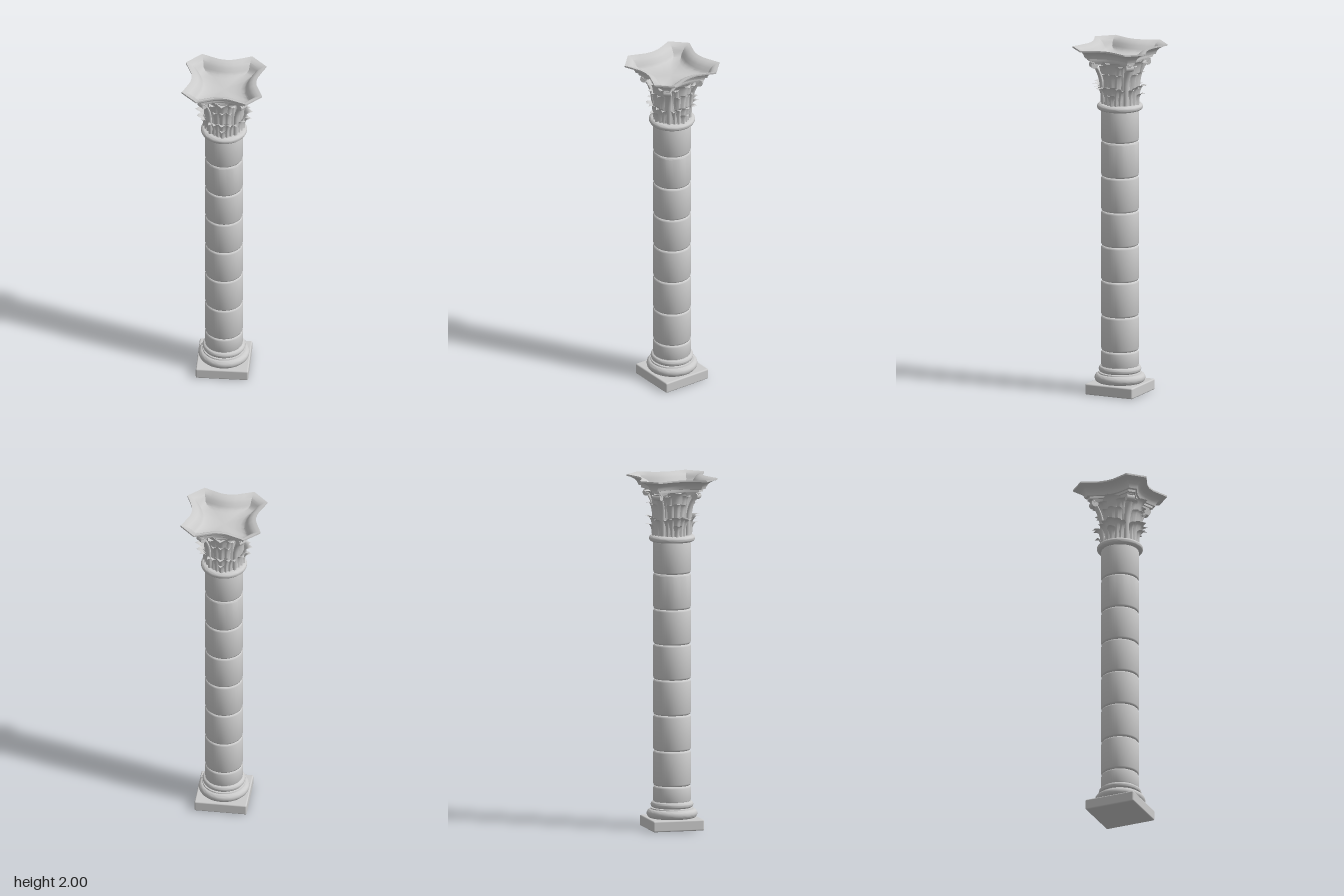
import * as THREE from 'three';
import { toCreasedNormals } from 'three/addons/utils/BufferGeometryUtils.js';
import { RoundedBoxGeometry } from 'three/addons/geometries/RoundedBoxGeometry.js';

const stone = new THREE.MeshStandardMaterial({ color: 0xcccccc, side: THREE.DoubleSide });
const V = (x, y) => new THREE.Vector2(x, y);
const rad = THREE.MathUtils.degToRad;

function part(name, geometry) {
  const mesh = new THREE.Mesh(geometry, stone);
  mesh.name = name;
  return mesh;
}

const lathe = (name, points, crease = 0.7) =>
  part(name, toCreasedNormals(new THREE.LatheGeometry(points, 48), crease));

// Half-round moulding profile between two heights
function roll(y0, y1, rOuter, bulge) {
  const pts = [];
  for (let i = 0; i <= 10; i++) {
    const a = Math.PI * (i / 10 - 0.5);
    pts.push(V(rOuter - bulge + bulge * Math.cos(a), (y0 + y1) / 2 + (y1 - y0) / 2 * Math.sin(a)));
  }
  return pts;
}

// Surface from a grid of points: rows x cols, each point from fn(row, col)
function gridSurface(rows, cols, fn) {
  const pos = [], idx = [];
  for (let i = 0; i <= rows; i++)
    for (let j = 0; j <= cols; j++) pos.push(...fn(i, j));
  for (let i = 0; i < rows; i++)
    for (let j = 0; j < cols; j++) {
      const a = i * (cols + 1) + j, d = a + cols + 1;
      idx.push(a, a + 1, d + 1, a, d + 1, d);
    }
  const g = new THREE.BufferGeometry();
  g.setAttribute('position', new THREE.Float32BufferAttribute(pos, 3));
  g.setIndex(idx);
  g.computeVertexNormals();
  return g;
}

// Spoon-shaped leaf lobe, hugging the bell and curling outwards at its tip
function lobe(name, angle, y0, y1, r0, r1, halfWidth, lean = 0) {
  const rows = 12, cols = 8;
  const g = gridSurface(rows, cols, (i, j) => {
    const t = i / rows, s = j / cols * 2 - 1;
    const w = halfWidth * (0.4 * (1 - t) + Math.sin(Math.PI * Math.pow(t, 1.7)));
    const x = s * w + lean * t * t;
    const r = r0 + (r1 - r0) * Math.pow(t, 2.4) - 0.4 * w * s * s + 0.003 * Math.max(0, 1 - 5 * Math.abs(s));
    return [x, y0 + (y1 - y0) * Math.sin(t * 1.75) / Math.sin(1.75) , r];
  });
  const m = part(name, g);
  m.rotation.y = rad(angle);
  return m;
}

// Stem and scroll under an abacus corner
function cornerStem() {
  const group = new THREE.Group();
  group.name = 'cornerStem';
  const spine = new THREE.CatmullRomCurve3([[0.098, 1.67], [0.105, 1.75], [0.115, 1.82], [0.14, 1.88], [0.168, 1.915]]
    .map(([r, y]) => new THREE.Vector3(0, y, r)));
  const rows = 16, cols = 16;
  group.add(part('stem', gridSurface(rows, cols, (i, j) => {
    const t = i / rows, a = j / cols * Math.PI * 2, p = spine.getPoint(t);
    const w = 0.012 + 0.012 * t;
    return [Math.cos(a) * w, p.y, p.z - Math.sin(a) * 0.012];
  })));
  const scroll = part('scroll', new THREE.CylinderGeometry(0.02, 0.02, 0.044, 20));
  scroll.rotation.z = Math.PI / 2;
  scroll.position.set(0, 1.9, 0.158);
  group.add(scroll);
  for (const s of [-1, 1]) {
    group.add(lobe('stemLeaf', 8 * s, 1.74, 1.9, 0.1, 0.15, 0.026, 0.022 * s));
  }
  return group;
}

// Abacus: concave-sided outline with cut corners, flaring to a thin rim around a sunken top
function abacus() {
  const outer = [[0.141, 0.227], [0.09, 0.206], [0.04, 0.187], [0, 0.182]];
  const inner = [[0.128, 0.161], [0.09, 0.145], [0.045, 0.13], [0, 0.125]];
  const side = (half) => [...half.map(([x, z]) => [-x, z]), ...half.slice(0, 3).reverse()];
  const ring = (half) => {
    const pts = [];
    for (let k = 0; k < 4; k++) {
      const c = Math.round(Math.cos(k * Math.PI / 2)), s = Math.round(Math.sin(k * Math.PI / 2));
      for (const [x, z] of side(half)) pts.push([x * c + z * s, z * c - x * s]);
    }
    return [...pts, pts[0]];
  };
  const A = ring(inner), B = ring(outer);
  // [offset, height]: -1 is the centre, 0 the inner outline, 1 the outer outline
  const levels = [
    [-1, 1.908], [-0.2, 1.908], [-0.17, 1.925], [-0.08, 1.925], [-0.08, 1.938], [0, 1.94],
    [0.06, 1.952], [0.18, 1.964], [0.38, 1.976], [0.65, 1.985], [1, 1.991], [1, 2],
    [0.7, 1.996], [0.4, 1.986], [0.18, 1.973], [0, 1.955],
    [-0.08, 1.942], [-0.25, 1.934], [-0.55, 1.929], [-1, 1.928]];
  const g = gridSurface(levels.length - 1, A.length - 1, (i, j) => {
    const [t, y] = levels[i], a = A[j], b = B[j];
    const f = (k) => t < 0 ? a[k] * (1 + t) : a[k] + (b[k] - a[k]) * t;
    return [f(0), y, f(1)];
  });
  return part('abacus', toCreasedNormals(g, 0.6));
}

export function createModel() {
  const model = new THREE.Group();
  model.name = 'column';

  // Base
  const plinth = part('plinth', new RoundedBoxGeometry(0.296, 0.062, 0.296, 3, 0.008));
  plinth.position.y = 0.031;
  model.add(plinth);
  model.add(lathe('baseMoulding', [
    V(0, 0.06), ...roll(0.062, 0.112, 0.143, 0.022), V(0.119, 0.118),
    ...roll(0.12, 0.155, 0.12, 0.015), V(0.104, 0.16)]));

  // Shaft drums with rounded edges and narrow joints
  const joints = [0.15, 0.245, 0.445, 0.648, 0.85, 1.05, 1.25, 1.452, 1.64];
  for (let i = 0; i < joints.length - 1; i++) {
    const a = joints[i], b = joints[i + 1], r = 0.106;
    model.add(lathe('drum', [
      V(0.09, a), V(r - 0.008, a + 0.001), V(r - 0.003, a + 0.004), V(r, a + 0.012),
      V(r, b - 0.012), V(r - 0.003, b - 0.004), V(r - 0.008, b - 0.001), V(0.09, b)], 0.9));
  }

  // Neck ring and bell
  model.add(lathe('neckRing', [V(0.1, 1.632), ...roll(1.632, 1.668, 0.13, 0.018), V(0.09, 1.67)]));
  model.add(lathe('bell', [V(0.1, 1.66), V(0.096, 1.72), V(0.096, 1.8), V(0.1, 1.85),
    V(0.11, 1.89), V(0.128, 1.915)]));

  // Leaves on each face, stems on each corner
  for (let k = 0; k < 4; k++) {
    const face = new THREE.Group();
    face.name = 'leafCluster';
    face.add(lobe('upperLeaf', 0, 1.74, 1.922, 0.106, 0.17, 0.052));
    face.add(lobe('middleLeaf', 0, 1.69, 1.855, 0.108, 0.146, 0.026));
    face.add(lobe('lowerLeaf', 0, 1.668, 1.782, 0.11, 0.163, 0.032));
    face.add(lobe('baseLeaf', 0, 1.665, 1.735, 0.115, 0.155, 0.022));
    for (const s of [-1, 1]) {
      face.add(lobe('upperSideLeaf', 20 * s, 1.72, 1.9, 0.102, 0.148, 0.032, 0.012 * s));
      face.add(lobe('middleSideLeaf', 15 * s, 1.68, 1.85, 0.106, 0.142, 0.024, 0.01 * s));
      face.add(lobe('lowerSideLeaf', 14 * s, 1.667, 1.775, 0.108, 0.155, 0.022, 0.012 * s));
      face.add(lobe('outerLeaf', 27 * s, 1.667, 1.765, 0.104, 0.15, 0.018, 0.014 * s));
    }
    face.rotation.y = k * Math.PI / 2;
    model.add(face);

    const stem = cornerStem();
    stem.rotation.y = (k + 0.5) * Math.PI / 2;
    model.add(stem);
  }

  model.add(abacus());
  return model;
}
